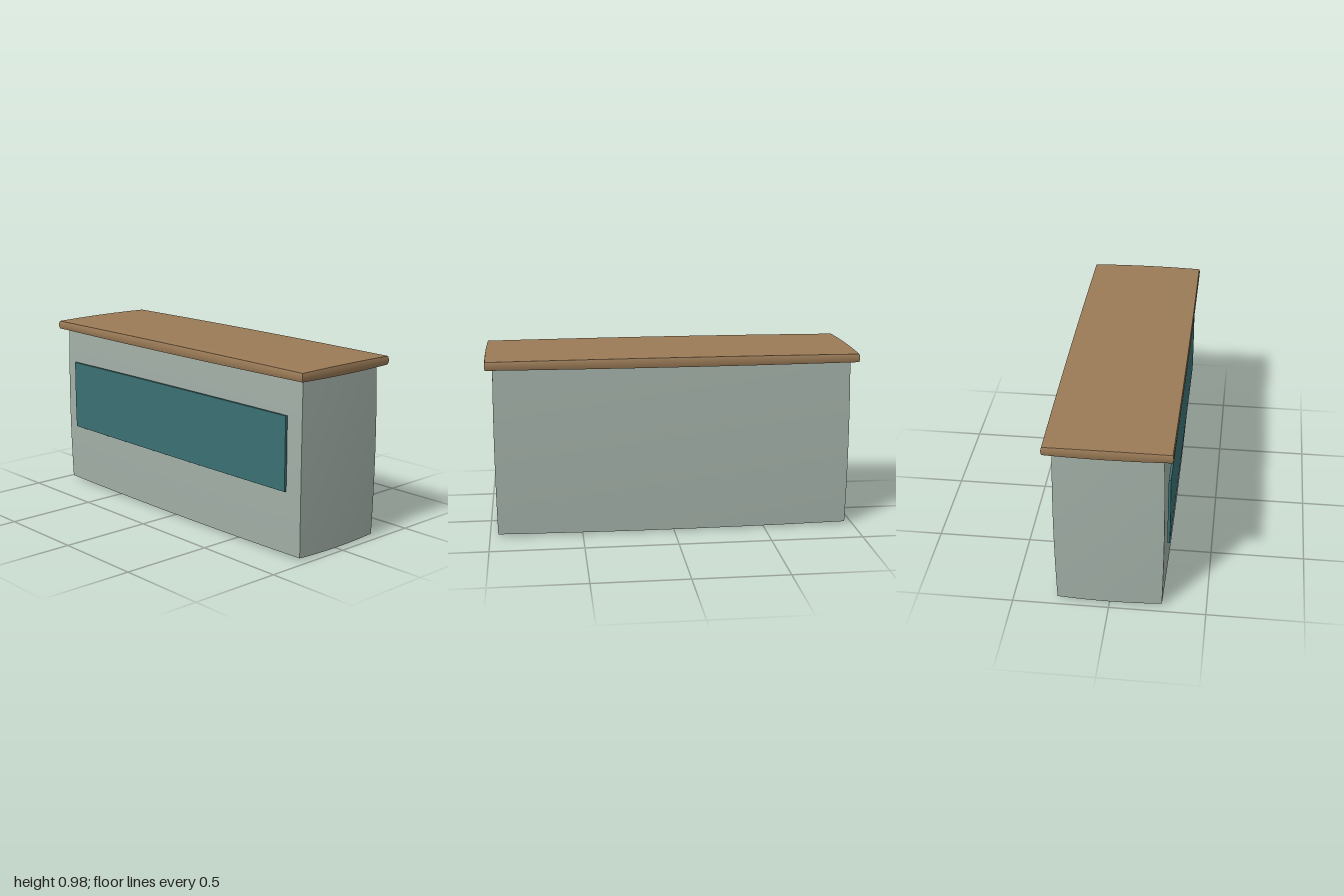
import * as THREE from 'three';

// Box whose faces swell outward: corners stay put, edges bow half as far as face centres
function bulgedBox(size, bulge) {
  const geo = new THREE.BoxGeometry(...size, 12, 12, 12);
  const pos = geo.attributes.position;
  for (let i = 0; i < pos.count; i++) {
    const n = size.map((s, a) => pos.getComponent(i, a) / (s / 2));
    n.forEach((v, a) => {
      const p = n[(a + 1) % 3], q = n[(a + 2) % 3];
      pos.setComponent(i, a, v * (size[a] / 2 + bulge[a] * (1 - 0.5 * (p * p + q * q))));
    });
  }
  geo.computeVertexNormals(); // each face keeps its own vertices, so edges stay sharp
  return geo;
}

export function createModel() {
  const group = new THREE.Group();
  group.name = 'counter';

  const paint = new THREE.MeshStandardMaterial({ name: 'grey green paint', color: 0xa3b0a8 });
  const wood = new THREE.MeshStandardMaterial({ name: 'brown wood', color: 0x9b7b57 });
  const teal = new THREE.MeshStandardMaterial({ name: 'teal panel', color: 0x3b7073 });

  const add = (name, material, size, bulge, y, z = 0) => {
    const mesh = new THREE.Mesh(bulgedBox(size, bulge), material);
    mesh.name = name;
    mesh.position.set(0, y, z);
    group.add(mesh);
  };

  // Cabinet body
  add('body', paint, [1.912, 0.902, 0.542], [0.01, 0.013, 0.013], 0.464);
  // Overhanging worktop
  add('worktop', wood, [1.984, 0.044, 0.626], [0.008, 0.008, 0.008], 0.946);
  // Raised panel on the front
  add('frontPanel', teal, [1.74, 0.388, 0.012], [0.001, 0.004, 0.002], 0.54, 0.293);

  return group;
}
